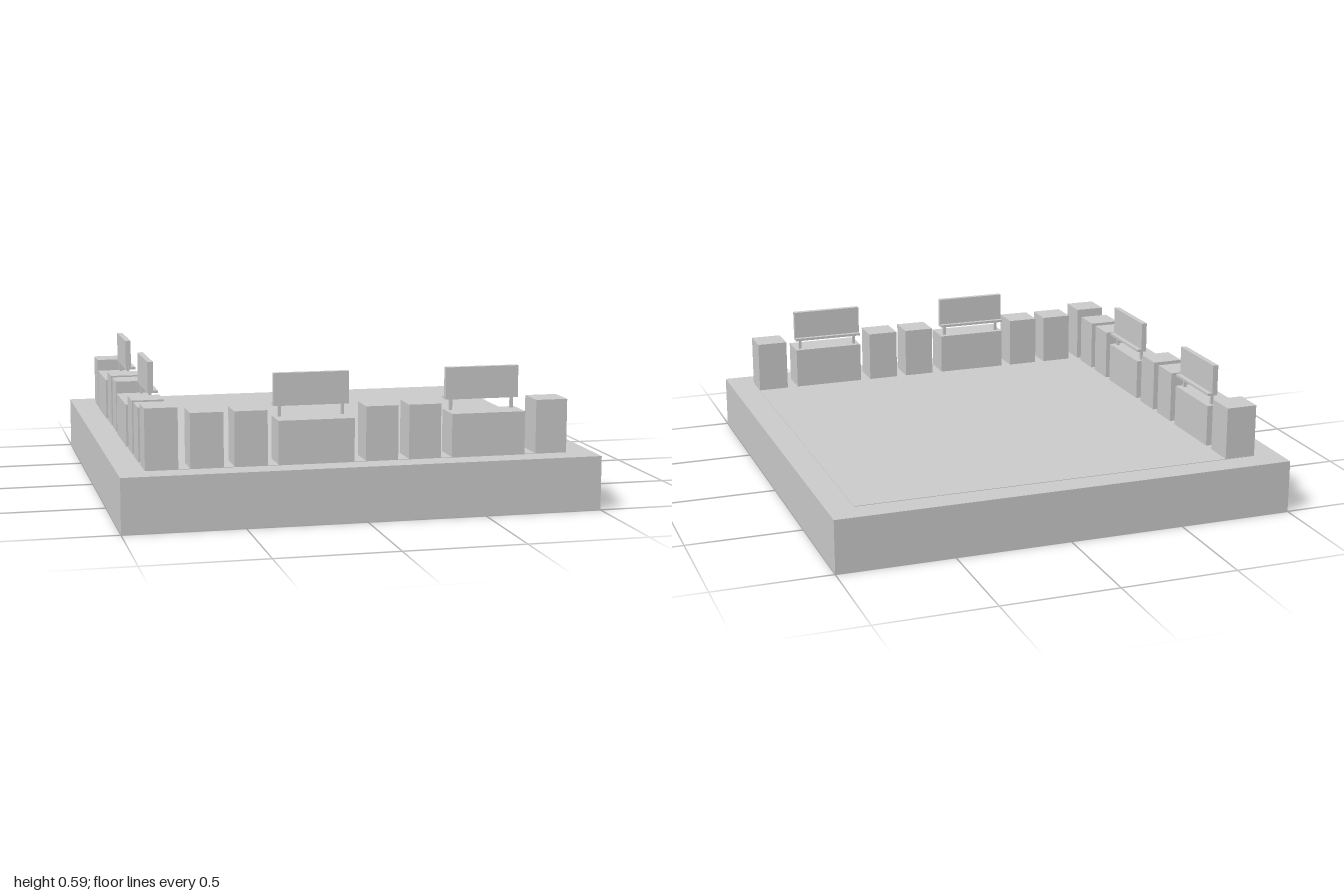
import * as THREE from 'three';

const material = new THREE.MeshStandardMaterial({ color: 0xcccccc, flatShading: true });

// Box given by its minimum and maximum on each axis
function box(name, x0, x1, y0, y1, z0, z1) {
  const mesh = new THREE.Mesh(new THREE.BoxGeometry(x1 - x0, y1 - y0, z1 - z0), material);
  mesh.name = name;
  mesh.position.set((x0 + x1) / 2, (y0 + y1) / 2, (z0 + z1) / 2);
  return mesh;
}

export function createModel() {
  const model = new THREE.Group();
  model.name = 'walledRoof';
  const top = 0.228;

  // Slab and slightly raised floor
  model.add(box('base', -1, 1, 0, top, -1, 1));
  model.add(box('floor', -0.887, 0.887, top - 0.01, top + 0.002, -0.887, 0.887));

  // Taller corner block shared by both rows
  model.add(box('cornerBlock', -0.887, -0.753, top, 0.48, 0.753, 0.887));

  // One row of parapet blocks; the side row mirrors the front row across the corner diagonal
  function addRow(rowName, side) {
    const row = new THREE.Group();
    row.name = rowName;
    const put = (name, a0, a1, y0, y1, d0, d1) => row.add(side
      ? box(name, -d1, -d0, y0, y1, -a1, -a0)
      : box(name, a0, a1, y0, y1, d0, d1));

    for (const a of [-0.637, -0.457, 0.088, 0.27, 0.818]) {
      put('narrowBlock', a - 0.068, a + 0.068, top, 0.455, 0.753, 0.888);
    }
    for (const a of [-0.187, 0.543]) {
      put('wideBlock', a - 0.158, a + 0.158, top, 0.41, 0.753, 0.891);
      // Sign board on two short posts, with a ledge on its inner side
      put('signBoard', a - 0.158, a + 0.158, 0.455, 0.59, 0.773, 0.797);
      put('signLedge', a - 0.158, a + 0.158, 0.455, 0.466, 0.753, 0.773);
      for (const s of [-1, 1]) {
        const p = a + s * 0.133;
        put('signPost', p - 0.006, p + 0.006, 0.41, 0.456, 0.778, 0.79);
      }
    }
    model.add(row);
  }
  addRow('frontRow', false);
  addRow('rightRow', true);

  return model;
}
